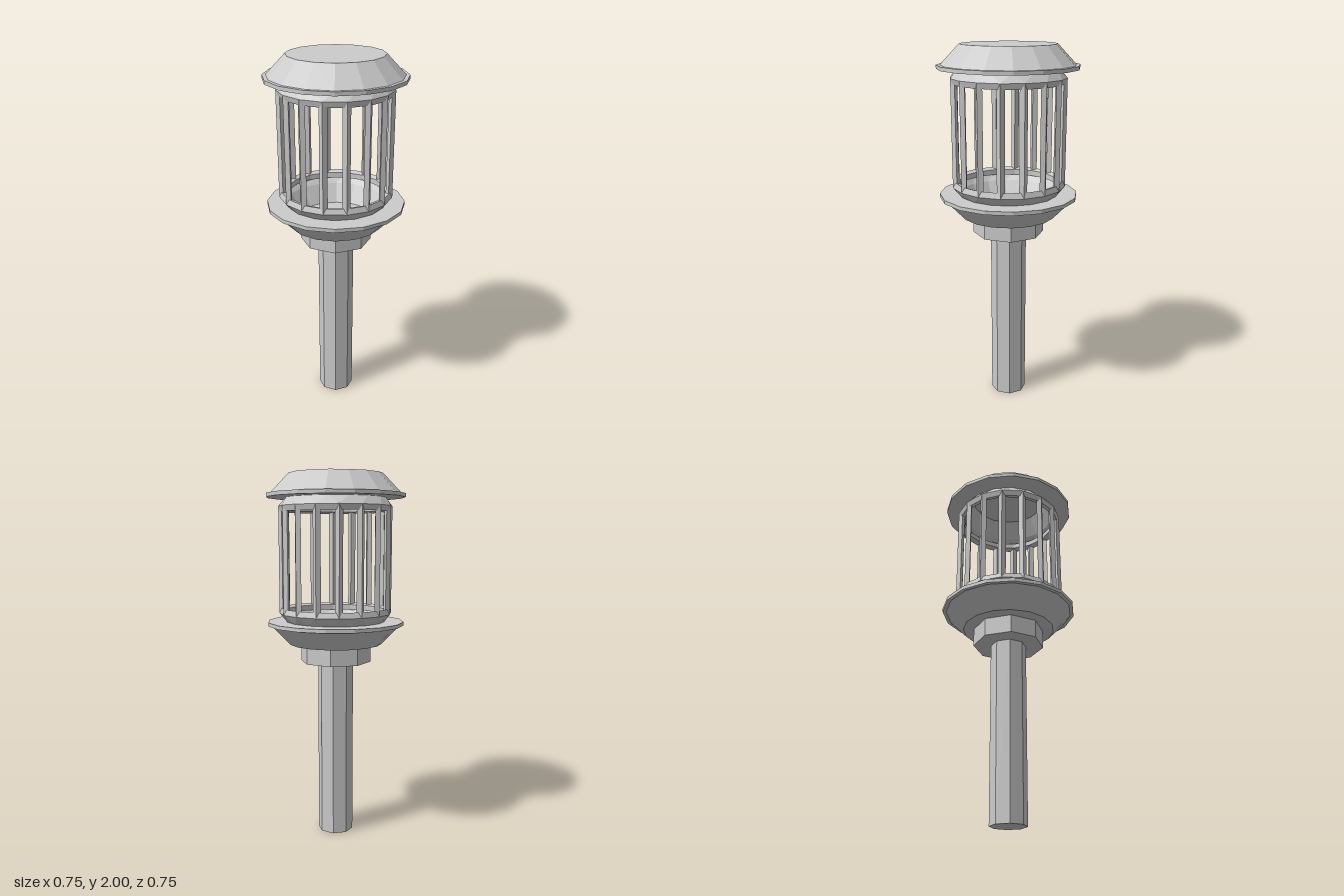
import * as THREE from 'three';

const SIDES = 16;
const STEP = (Math.PI * 2) / SIDES;
const MID = 1.5425; // height about which bowl and cap mirror each other

export function createModel() {
  const model = new THREE.Group();
  model.name = 'lantern';
  const grey = new THREE.MeshStandardMaterial({ color: 0xcccccc, flatShading: true, side: THREE.DoubleSide });

  const add = (parent, name, geometry, y = 0) => {
    const mesh = new THREE.Mesh(geometry, grey);
    mesh.name = name;
    mesh.position.y = y;
    parent.add(mesh);
    return mesh;
  };
  const lathe = (points, start = 0) =>
    new THREE.LatheGeometry(points.map(([r, y]) => new THREE.Vector2(r, y - MID)), SIDES, start);

  // Octagonal post and collar
  add(model, 'post', new THREE.CylinderGeometry(0.098, 0.098, 0.985, 8), 0.4925);
  add(model, 'collar', new THREE.CylinderGeometry(0.195, 0.195, 0.1, 8), 1.035);

  // Hollow dish with a rim, plus the ring holding the bars; the top half is the same, turned over
  const makeEnd = (dishName, ringName, skirtName) => {
    const end = new THREE.Group();
    end.position.y = MID;
    add(end, dishName, lathe([
      [0, 1.085], [0.255, 1.085], [0.355, 1.19], [0.375, 1.19],
      [0.375, 1.21], [0.27, 1.21], [0.215, 1.11], [0, 1.11],
    ]));
    add(end, ringName, lathe([
      [0.308, 1.255], [0.299, 1.285], [0.268, 1.275], [0.268, 1.245], [0.308, 1.255],
    ], STEP / 2));

    // Zigzag skirt: lower edge turned half a step against the upper edge
    const skirt = new THREE.CylinderGeometry(0.308, 0.27, 0.045, SIDES, 1, true, STEP / 2);
    const pos = skirt.attributes.position;
    const v = new THREE.Vector3();
    for (let i = 0; i < pos.count; i++) {
      v.fromBufferAttribute(pos, i);
      if (v.y < 0) v.applyAxisAngle(new THREE.Vector3(0, 1, 0), STEP / 2);
      pos.setXYZ(i, v.x, v.y, v.z);
    }
    add(end, skirtName, skirt, 1.2325 - MID);
    model.add(end);
    return end;
  };
  makeEnd('bowl', 'lowerRing', 'lowerSkirt').name = 'base';
  const cap = makeEnd('cap', 'upperRing', 'upperSkirt');
  cap.name = 'top';
  cap.rotation.x = Math.PI;

  // Diamond-section bars with a ridge facing outwards
  const cage = new THREE.Group();
  cage.name = 'cage';
  const barShape = new THREE.CylinderGeometry(1, 1, 0.575, 4).scale(0.021, 1, 0.018);
  for (let i = 0; i < SIDES; i++) {
    const a = (i + 0.5) * STEP;
    const bar = add(cage, 'bar', barShape, MID);
    bar.position.x = Math.sin(a) * 0.29;
    bar.position.z = Math.cos(a) * 0.29;
    bar.rotation.y = a;
  }
  model.add(cage);

  return model;
}
